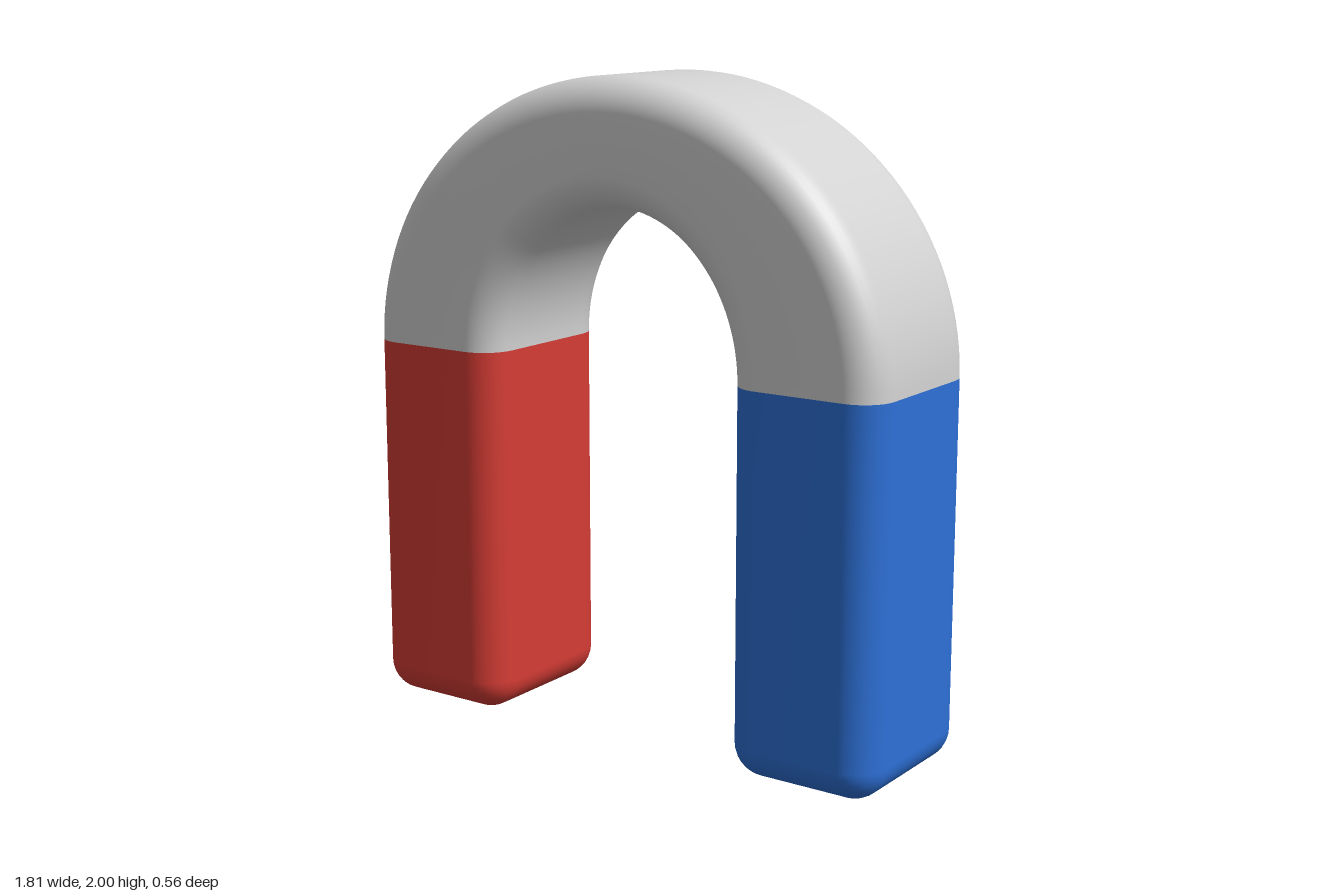
import * as THREE from 'three';
import { mergeVertices } from 'three/addons/utils/BufferGeometryUtils.js';

const OUTER = 0.905, INNER = 0.42, HALF_DEPTH = 0.28, ROUND = 0.1;
const JOIN = 1.155, OUTER_RISE = 0.845, INNER_RISE = 0.465;

// Rounded-rectangle section between an inner and an outer point, shrunk by an inset
function section(inner, outer, inset = 0) {
  const dir = outer.clone().sub(inner);
  const half = dir.length() / 2;
  dir.normalize();
  const mid = inner.clone().add(outer).multiplyScalar(0.5);
  const r = ROUND - inset, points = [], steps = 8;
  for (let c = 0; c < 4; c++) {
    const sa = c === 0 || c === 3 ? 1 : -1;
    const sz = c < 2 ? 1 : -1;
    for (let k = 0; k <= steps; k++) {
      const angle = (c + k / steps) * Math.PI / 2;
      const a = sa * (half - ROUND) + r * Math.cos(angle);
      const z = sz * (HALF_DEPTH - ROUND) + r * Math.sin(angle);
      points.push(new THREE.Vector3(mid.x + dir.x * a, mid.y + dir.y * a, z));
    }
  }
  return points;
}

// Skin a row of sections, optionally closing the first one
function loft(rings, capStart) {
  const n = rings[0].length, points = rings.flat(), index = [];
  for (let i = 0; i < rings.length - 1; i++) {
    for (let j = 0; j < n; j++) {
      const a = i * n + j, b = i * n + (j + 1) % n;
      index.push(a, a + n, b, b, a + n, b + n);
    }
  }
  if (capStart) {
    const centre = new THREE.Vector3();
    rings[0].forEach((p) => centre.addScaledVector(p, 1 / n));
    points.push(centre);
    for (let j = 0; j < n; j++) index.push(points.length - 1, j, (j + 1) % n);
  }
  let geometry = new THREE.BufferGeometry().setFromPoints(points);
  geometry.setIndex(index);
  geometry = mergeVertices(geometry, 1e-5);
  geometry.computeVertexNormals();
  return geometry;
}

export function createModel() {
  const grey = new THREE.MeshStandardMaterial({ name: 'light grey', color: 0xd2d2d2 });
  const red = new THREE.MeshStandardMaterial({ name: 'red', color: 0xd63c35 });
  const blue = new THREE.MeshStandardMaterial({ name: 'blue', color: 0x2d70d6 });
  const group = new THREE.Group();
  group.name = 'horseshoeMagnet';

  const add = (name, geometry, material) => {
    const mesh = new THREE.Mesh(geometry, material);
    mesh.name = name;
    group.add(mesh);
    return mesh;
  };

  // Arch: a half loop, slightly thinner at the crown than at the legs
  const archRings = [];
  for (let i = 0; i <= 64; i++) {
    const t = Math.PI * i / 64, c = Math.cos(t), s = Math.sin(t);
    archRings.push(section(
      new THREE.Vector3(INNER * c, JOIN + INNER_RISE * s, 0),
      new THREE.Vector3(OUTER * c, JOIN + OUTER_RISE * s, 0)));
  }
  add('arch', loft(archRings, false), grey);

  // Legs: straight bars with a rounded foot
  const legRing = (y, inset) => section(
    new THREE.Vector3(INNER, y, 0), new THREE.Vector3(OUTER, y, 0), inset);
  const legRings = [];
  for (let i = 0; i <= 8; i++) {
    const t = i / 8 * Math.PI / 2;
    legRings.push(legRing(ROUND * (1 - Math.sin(t)), ROUND * (1 - Math.cos(t))));
  }
  // foot sections run from the side down, so turn them to run upwards
  legRings.reverse();
  legRings.push(legRing(JOIN, 0));
  const legGeometry = loft(legRings, true);
  add('leftLeg', legGeometry, blue);
  add('rightLeg', legGeometry, red).rotation.y = Math.PI;

  return group;
}
